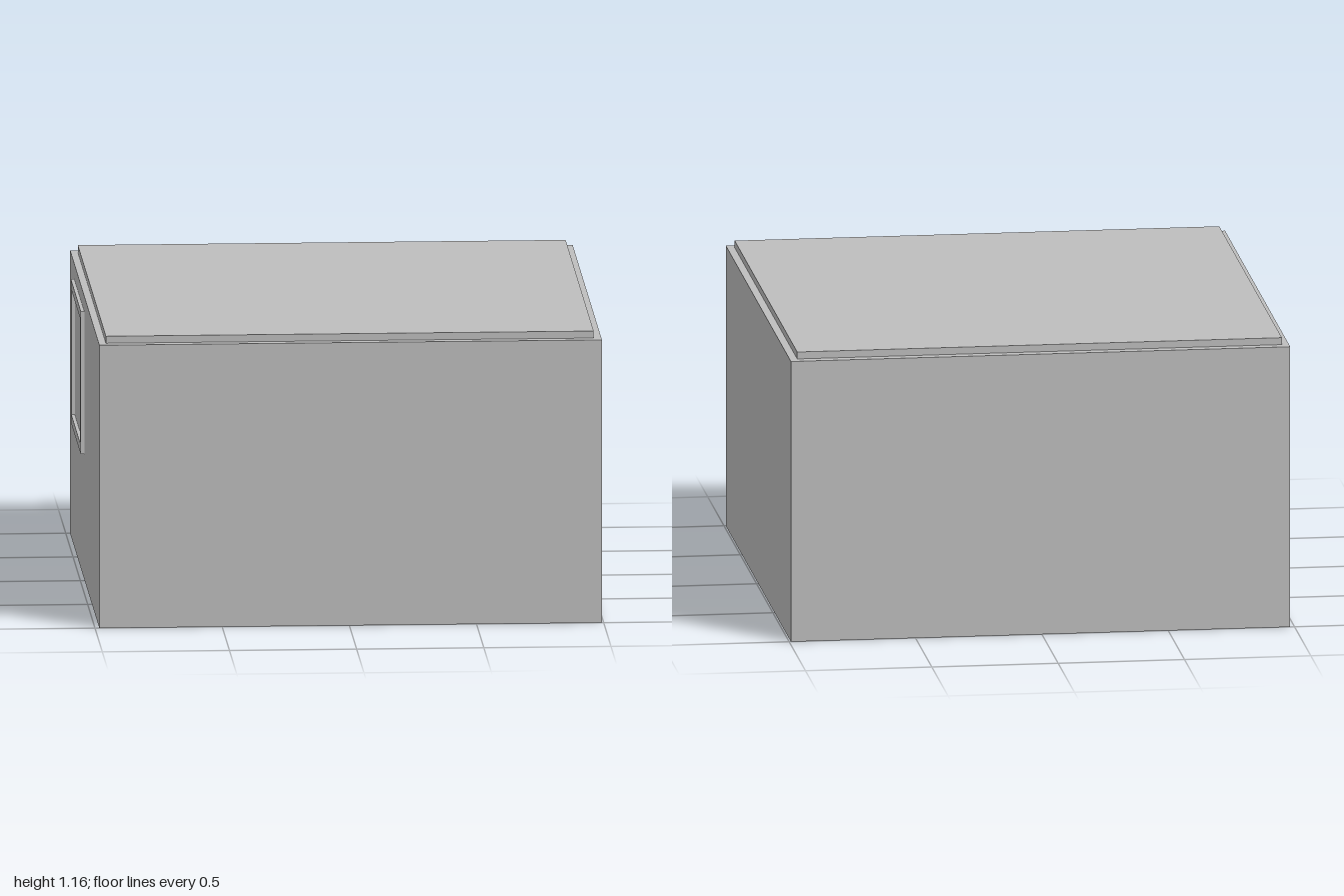
import * as THREE from 'three';

const concrete = new THREE.MeshStandardMaterial({ color: 0xbebebe });
concrete.name = 'concrete grey';

// Box given by its minimum and maximum corners
function block(name, min, max) {
  const size = max.map((v, i) => v - min[i]);
  const mesh = new THREE.Mesh(new THREE.BoxGeometry(...size), concrete);
  mesh.position.set(...min.map((v, i) => (v + max[i]) / 2));
  mesh.name = name;
  return mesh;
}

// Rectangular outline centred on the origin
function rectangle(PathType, w, h) {
  return new PathType().moveTo(-w / 2, -h / 2).lineTo(w / 2, -h / 2)
    .lineTo(w / 2, h / 2).lineTo(-w / 2, h / 2).closePath();
}

export function createModel() {
  const model = new THREE.Group();
  model.name = 'building';

  // Main volume and the slightly inset roof slab
  model.add(block('walls', [-0.983, 0, -1], [0.993, 1.13, 1]));
  model.add(block('roofSlab', [-0.955, 1.13, -0.96], [0.963, 1.158, 0.96]));

  // Raised window frame on the -x wall, the wall showing through as the pane
  const width = 0.68, height = 0.57, bar = 0.035;
  const outline = rectangle(THREE.Shape, width, height);
  outline.holes.push(rectangle(THREE.Path, width - 2 * bar, height - 2 * bar));
  const frame = new THREE.Mesh(
    new THREE.ExtrudeGeometry(outline, { depth: 0.014, bevelEnabled: false }), concrete);
  frame.name = 'windowFrame';
  frame.rotation.y = -Math.PI / 2;
  frame.position.set(-0.983, 0.785, -0.37);
  model.add(frame);

  return model;
}
